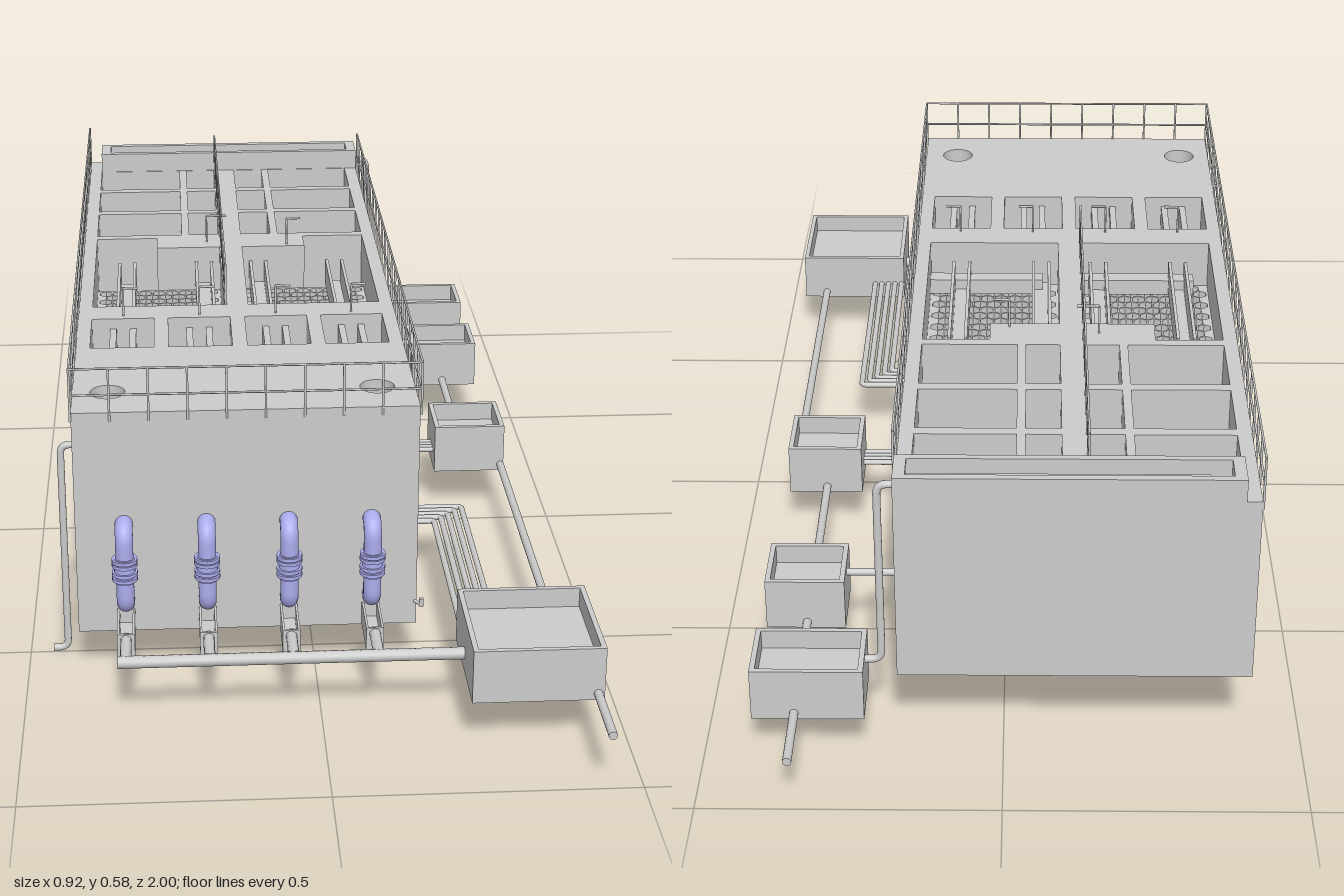
import * as THREE from 'three';

const grey = new THREE.MeshStandardMaterial({ color: 0xcccccc, side: THREE.DoubleSide });
const blue = new THREE.MeshStandardMaterial({ color: 0xaeaef0, side: THREE.DoubleSide });
const TOP = 0.495, FLOOR = 0.2, MID = -0.1175;

export function createModel() {
  const model = new THREE.Group();

  const add = (name, geometry, material = grey) => {
    const mesh = new THREE.Mesh(geometry, material);
    mesh.name = name;
    model.add(mesh);
    return mesh;
  };
  // Box given by its limits on each axis
  const box = (name, x0, x1, y0, y1, z0, z1) =>
    add(name, new THREE.BoxGeometry(x1 - x0, y1 - y0, z1 - z0))
      .position.set((x0 + x1) / 2, (y0 + y1) / 2, (z0 + z1) / 2);
  // Straight round bar between two points
  const bar = (name, a, b, r, material = grey, sides = 12) => {
    const p = new THREE.Vector3(...a), q = new THREE.Vector3(...b);
    const d = q.clone().sub(p);
    const mesh = add(name, new THREE.CylinderGeometry(r, r, d.length(), sides), material);
    mesh.position.copy(p).lerp(q, 0.5);
    mesh.quaternion.setFromUnitVectors(new THREE.Vector3(0, 1, 0), d.normalize());
  };
  // Pipe through corner points with rounded elbows and closed ends
  const pipe = (name, points, r, bend, material = grey) => {
    const p = points.map(v => new THREE.Vector3(...v));
    const path = new THREE.CurvePath();
    let last = p[0];
    for (let i = 1; i < p.length - 1; i++) {
      const a = p[i].clone().add(p[i - 1].clone().sub(p[i]).setLength(bend));
      const b = p[i].clone().add(p[i + 1].clone().sub(p[i]).setLength(bend));
      path.add(new THREE.LineCurve3(last, a));
      path.add(new THREE.QuadraticBezierCurve3(a, p[i], b));
      last = b;
    }
    path.add(new THREE.LineCurve3(last, p[p.length - 1]));
    add(name, new THREE.TubeGeometry(path, 96, r, 14), material);
    [[p[0], p[1]], [p[p.length - 1], p[p.length - 2]]].forEach(([end, next]) => {
      const cap = add(name + 'End', new THREE.CircleGeometry(r, 14), material);
      cap.position.copy(end);
      cap.lookAt(end.clone().multiplyScalar(2).sub(next));
    });
  };
  // Plan outlines use (x, z) and are extruded upwards
  const outline = (pts, Kind = THREE.Path) => new Kind(pts.map(([x, z]) => new THREE.Vector2(x, -z)));
  const rect = (x0, x1, z0, z1) => [[x0, z0], [x1, z0], [x1, z1], [x0, z1]];
  const ring = (x, z, r, n, turn = 0) => Array.from({ length: n }, (_, i) => {
    const a = turn + i * 2 * Math.PI / n;
    return [x + r * Math.cos(a), z + r * Math.sin(a)];
  });
  const slab = (name, outer, holes, y0, y1) => {
    const shape = outline(outer, THREE.Shape);
    shape.holes = holes.map(h => outline(h));
    const g = new THREE.ExtrudeGeometry(shape, { depth: y1 - y0, bevelEnabled: false });
    g.rotateX(-Math.PI / 2).translate(0, y0, 0);
    add(name, g);
  };
  const mirror = pts => pts.map(([x, z]) => [2 * MID - x, z]);

  // Tank body with its wells
  const wells = [];
  for (const [z0, z1] of [[-0.77, -0.64], [-0.62, -0.49], [-0.47, -0.33]]) {
    for (const [x0, x1] of [[-0.385, -0.215], [-0.2, -0.14]]) {
      const w = rect(x0, x1, z0, z1);
      wells.push(w, mirror(w));
    }
  }
  const settler = [[-0.385, -0.31], [-0.265, -0.31], [-0.265, -0.25], [-0.14, -0.25], [-0.14, 0.08], [-0.385, 0.08]];
  wells.push(settler, mirror(settler));
  const bays = [-0.328, -0.188, -0.047, 0.093];
  bays.forEach(x => wells.push(rect(x - 0.057, x + 0.057, 0.145, 0.29)));
  wells.push(ring(-0.35, 0.495, 0.03, 24), ring(0.11, 0.495, 0.03, 24));
  slab('tankWalls', rect(-0.41, 0.175, -0.845, 0.585), wells, FLOOR, TOP);
  box('deepTankBase', -0.41, 0.175, 0.085, FLOOR, -0.33, 0.585);
  box('shallowTankBase', -0.41, 0.175, 0.155, FLOOR, -0.845, -0.33);

  // Raised channel along the back
  slab('backChannel', rect(-0.385, 0.175, -0.845, -0.772),
    [rect(-0.365, 0.155, -0.832, -0.784)], TOP, 0.535);
  box('channelWeir', -0.33, 0.155, TOP, 0.52, -0.812, -0.804);

  // Honeycomb packing and collecting troughs in the two settlers
  const comb = (name, x0, x1, z0, z1, y0, y1) => {
    const holes = [], r = 0.0135, dx = 0.0265, dz = 0.023;
    for (let j = 0, z = z0 + 0.016; z < z1 - 0.014; j++, z += dz)
      for (let x = x0 + 0.016 + (j % 2) * dx / 2; x < x1 - 0.013; x += dx)
        holes.push(ring(x, z, r, 6, Math.PI / 6));
    slab(name, rect(x0, x1, z0, z1), holes, y0, y1);
  };
  for (const [x0, x1] of [[-0.385, -0.14], [-0.095, 0.15]]) {
    comb('honeycombPacking', x0, x1, -0.25, 0.08, 0.38, 0.405);
    comb('lowerHoneycomb', x0 + 0.012, x1, -0.25, -0.11, 0.35, 0.372);
    box('crossTrough', x0 + 0.03, x1, 0.41, 0.44, 0.03, 0.06);
  }
  for (const x of [-0.325, -0.172, -0.063, 0.09]) {
    for (const s of [-1, 1])
      box('troughSide', x + s * 0.015 - 0.003, x + s * 0.015 + 0.003, 0.415, 0.465, -0.25, 0.06);
    box('troughBottom', x - 0.015, x + 0.015, 0.415, 0.42, -0.25, 0.06);
  }

  // Dividers and lifting handles of the front bays
  const handle = (x, z, length) => {
    bar('handlePost', [x, TOP, z], [x, 0.549, z], 0.002, grey, 6);
    bar('handleGrip', [x, 0.549, z], [x + length, 0.549, z], 0.0025, grey, 6);
  };
  bays.forEach(x => {
    for (const s of [-0.018, 0.018])
      box('bayDivider', x + s - 0.006, x + s + 0.006, FLOOR, 0.475, 0.145, 0.29);
    handle(x + 0.001, 0.13, 0.027);
  });
  handle(-0.165, -0.285, 0.04);
  handle(-0.005, -0.262, 0.027);

  // Railings with evenly spaced posts
  const railing = (a, b, n) => {
    const at = (t, y) => [a[0] + (b[0] - a[0]) * t, y, a[1] + (b[1] - a[1]) * t];
    for (let i = 0; i <= n; i++) bar('railPost', at(i / n, 0.48), at(i / n, 0.574), 0.0022, grey, 6);
    for (const y of [0.527, 0.574]) bar('handRail', at(0, y), at(1, y), 0.002, grey, 6);
  };
  railing([-0.411, 0.585], [0.177, 0.585], 9);
  railing([-0.411, 0.585], [-0.411, -0.842], 21);
  railing([0.177, 0.585], [0.177, -0.765], 20);
  railing([-0.137, 0.08], [-0.137, -0.77], 13);

  // Blue outlet pipes with flanges, each above a small trough
  const outlets = [-0.327, -0.187, -0.047, 0.095];
  outlets.forEach((x, i) => {
    const inner = i === 3 ? 0.47 : 0.57;
    pipe('outletPipe', [[x, 0.29, inner], [x, 0.29, 0.614], [x, 0.145, 0.614], [x, 0.145, 0.575]], 0.0155, 0.026, blue);
    for (const y of [0.202, 0.212, 0.228, 0.236])
      bar('outletFlange', [x, y - 0.003, 0.614], [x, y + 0.003, 0.614], 0.022, blue, 20);
    bar('outletCollar', [x, 0.195, 0.614], [x, 0.24, 0.614], 0.018, blue, 20);
    box('outletTroughBase', x - 0.015, x + 0.015, 0.087, 0.1, 0.58, 0.68);
    for (const s of [-1, 1])
      box('outletTroughSide', x + s * 0.013 - 0.002, x + s * 0.013 + 0.002, 0.087, 0.128, 0.58, 0.68);
    box('outletTroughEnd', x - 0.015, x + 0.015, 0.087, 0.128, 0.676, 0.68);
    bar('branchPipe', [x, 0.117, 0.67], [x, 0.117, 0.755], 0.0095);
  });
  bar('collectorPipe', [-0.34, 0.117, 0.755], [0.245, 0.117, 0.755], 0.0105);

  // Open inspection chambers
  const chamber = (x0, x1, z0, z1) => {
    const t = 0.009;
    box('chamberBase', x0, x1, 0.085, 0.145, z0, z1);
    slab('chamberRim', rect(x0, x1, z0, z1), [rect(x0 + t, x1 - t, z0 + t, z1 - t)], 0.145, 0.18);
  };
  chamber(0.238, 0.456, 0.645, 0.866);
  chamber(0.278, 0.416, -0.17, -0.043);
  chamber(0.278, 0.416, -0.615, -0.493);
  chamber(0.229, 0.416, -0.873, -0.75);

  // Drain line joining the chambers
  for (const [x, z0, z1] of [[0.345, -1, -0.87], [0.345, -0.76, -0.61], [0.345, -0.5, -0.165],
    [0.41, -0.05, 0.65], [0.445, 0.86, 1]])
    bar('drainPipe', [x, 0.097, z0], [x, 0.097, z1], 0.0075);

  // Bundle of bent pipes from the tank to the front chamber
  for (let i = 0; i < 5; i++) {
    const x = 0.302 - i * 0.0145, z = 0.19 + i * 0.0145;
    pipe('bundlePipe', [[0.17, 0.117, z], [x, 0.117, z], [x, 0.117, 0.65]], 0.0055, 0.008);
  }
  // Short links to the side chambers
  for (let i = 0; i < 4; i++)
    bar('linkPipe', [0.17, 0.118, -0.115 + i * 0.0125], [0.285, 0.118, -0.115 + i * 0.0125], 0.005);
  bar('linkPipe', [0.17, 0.162, -0.555], [0.285, 0.162, -0.555], 0.0065);

  // Overflow from the back channel and the side downpipe
  pipe('overflowPipe', [[0.17, 0.503, -0.81], [0.202, 0.503, -0.81], [0.202, 0.162, -0.81], [0.235, 0.162, -0.81]], 0.0065, 0.018);
  pipe('sideDownpipe', [[-0.405, 0.399, 0.495], [-0.434, 0.399, 0.495], [-0.434, 0.0065, 0.495], [-0.46, 0.0065, 0.495]], 0.0063, 0.016);

  // Small drain valve near the front corner
  bar('drainValve', [0.182, 0.125, 0.6], [0.182, 0.14, 0.6], 0.004);
  bar('drainStub', [0.17, 0.127, 0.58], [0.182, 0.127, 0.6], 0.003);

  return model;
}
